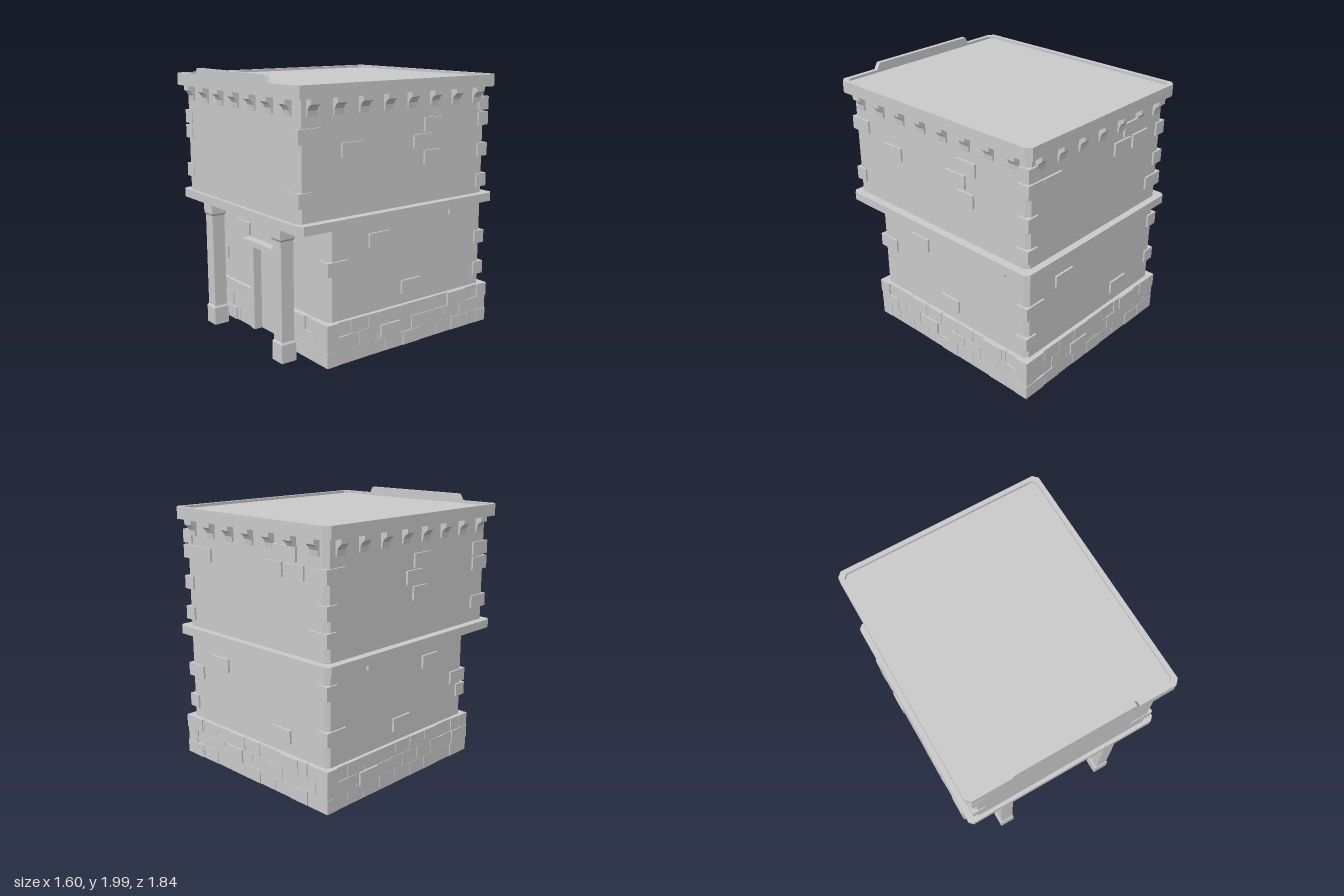
import * as THREE from 'three';

const mat = new THREE.MeshStandardMaterial({ color: 0xcccccc, flatShading: true });

let seed = 7;
const rand = () => (seed = (seed * 16807) % 2147483647) / 2147483647;

function add(parent, name, geo, x = 0, y = 0, z = 0) {
  const m = new THREE.Mesh(geo, mat);
  m.name = name;
  m.position.set(x, y, z);
  parent.add(m);
  return m;
}

// box given by its min and max corners
function block(parent, name, x0, x1, y0, y1, z0, z1) {
  return add(parent, name, new THREE.BoxGeometry(x1 - x0, y1 - y0, z1 - z0),
    (x0 + x1) / 2, (y0 + y1) / 2, (z0 + z1) / 2);
}

// floor plan of a rectangle with cut corners, as [x, z], starting and ending on the front side
function plan(hx, z0, z1, c) {
  return [[hx - c, z1], [hx, z1 - c], [hx, z0 + c], [hx - c, z0],
    [-hx + c, z0], [-hx, z0 + c], [-hx, z1 - c], [-hx + c, z1]];
}
const toVec = pts => pts.map(([x, z]) => new THREE.Vector2(x, -z));

// extrude a floor plan upwards from y0 to y1
function rise(pts, y0, y1, hole) {
  const s = new THREE.Shape(toVec(pts));
  if (hole) s.holes.push(new THREE.Path(toVec(hole)));
  return new THREE.ExtrudeGeometry(s, { depth: y1 - y0, bevelEnabled: false })
    .rotateX(-Math.PI / 2).translate(0, y0, 0);
}

const HX = 0.74, BACK = -0.868, FRONT = 0.62, TOP_FRONT = 0.862;

// brick set into a wall; u runs along the wall, out is how far it stands proud
function brick(parent, side, u, y, len, out, depth = 0.12, h = 0.1, front = FRONT) {
  const name = 'brick';
  const [a, b, c, d] = [u - len / 2, u + len / 2, y - h / 2, y + h / 2];
  if (side === 'front') block(parent, name, a, b, c, d, front + out - depth, front + out);
  if (side === 'back') block(parent, name, a, b, c, d, BACK - out, BACK - out + depth);
  if (side === 'right') block(parent, name, HX + out - depth, HX + out, c, d, a, b);
  if (side === 'left') block(parent, name, -HX - out, -HX - out + depth, c, d, a, b);
}

// three staggered courses of stones round the foot
function stoneBase(root) {
  const g = new THREE.Group();
  g.name = 'stoneBase';
  root.add(g);
  const runs = [['back', -HX, HX, 9], ['right', BACK, FRONT, 9], ['left', BACK, FRONT, 9],
    ['front', -HX, -0.205, 3], ['front', 0.205, HX, 3]];
  for (const [side, a, b, n] of runs) {
    for (let row = 0; row < 3; row++) {
      const step = (b - a) / n;
      for (let i = 0; i < n + row % 2; i++) {
        const shift = row % 2 ? 0.5 : 0;
        const p = Math.max(a, a + (i - shift) * step), q = Math.min(b, a + (i + 1 - shift) * step);
        const depth = (i + row) % 2 ? 0.1 : 0.15;
        brick(g, side, (p + q) / 2, 0.062 + row * 0.104, q - p - 0.003, 0.026 + rand() * 0.008, depth, 0.102);
      }
    }
  }
  // corner stones, long side alternating
  for (const sx of [-1, 1]) for (const sz of [-1, 1]) for (let row = 0; row < 3; row++) {
    const lx = row % 2 ? 0.1 : 0.19, lz = row % 2 ? 0.19 : 0.1;
    const o = 0.032 + rand() * 0.008, ze = sz > 0 ? FRONT : BACK, y = 0.062 + row * 0.104;
    add(g, 'cornerStone', new THREE.BoxGeometry(lx, 0.102, lz),
      sx * (HX + o - lx / 2), y, ze + sz * (o - lz / 2));
  }
  // a few stones standing further out
  [['front', -0.5, 0.062, 0.16], ['front', 0.43, 0.27, 0.17], ['right', 0.09, 0.166, 0.18],
    ['right', -0.575, 0.27, 0.18], ['left', -0.5, 0.166, 0.18], ['back', 0.2, 0.166, 0.18],
    ['back', -0.4, 0.27, 0.18]].forEach(([s, u, y, l]) => brick(g, s, u, y, l, 0.042));
}

function wallBricks(root) {
  const g = new THREE.Group();
  g.name = 'wallBricks';
  root.add(g);
  const list = [
    ['right', 0.425, 1.505], ['right', -0.22, 1.505], ['right', -0.32, 1.62], ['right', -0.31, 1.385, 0.155],
    ['right', 0.18, 0.85], ['right', -0.125, 0.45], ['right', -0.59, 0.975],
    ['left', 0.08, 1.62], ['left', 0, 1.505], ['left', 0.06, 1.385, 0.155], ['left', -0.12, 0.45],
    ['left', 0.2, 0.85], ['left', -0.4, 0.975],
    ['back', -0.36, 1.735, 0.22], ['back', -0.24, 1.62], ['back', -0.45, 1.62], ['back', 0.36, 0.82],
    ['back', 0.52, 1.62], ['back', -0.3, 0.45], ['front', -0.33, 0.785],
  ];
  for (const [s, u, y, l = 0.18] of list) brick(g, s, u, y, l, 0.016);

  // corner bricks: [x side, z side, y, length in x, length in z]
  const quoins = [
    [1, 1, 1.62, 0.1, 0.18], [1, 1, 1.205, 0.18, 0.1], [1, 1, 0.7, 0.1, 0.18],
    [-1, 1, 1.62, 0.1, 0.18], [-1, 1, 1.505, 0.1, 0.18], [-1, 1, 1.205, 0.1, 0.18],
    [-1, 1, 0.645, 0.1, 0.18], [-1, 1, 0.53, 0.18, 0.1],
    [1, -1, 1.735, 0.1, 0.1], [1, -1, 1.62, 0.18, 0.1], [1, -1, 1.385, 0.1, 0.1], [1, -1, 1.15, 0.1, 0.1],
    [1, -1, 0.7, 0.18, 0.1], [1, -1, 0.45, 0.1, 0.1],
    [-1, -1, 1.62, 0.1, 0.18], [-1, -1, 1.385, 0.1, 0.1], [-1, -1, 1.205, 0.18, 0.1],
    [-1, -1, 0.85, 0.1, 0.1], [-1, -1, 0.53, 0.1, 0.18],
  ];
  for (const [sx, sz, y, lx, lz] of quoins) {
    const ze = sz < 0 ? BACK : y > 1 ? TOP_FRONT : FRONT, oz = sz > 0 && y > 1 ? 0.006 : 0.014;
    add(g, 'cornerBrick', new THREE.BoxGeometry(lx, 0.1, lz),
      sx * (HX + 0.014 - lx / 2), y, ze + sz * (oz - lz / 2));
  }
}

// small stepped brackets under the cornice
function brackets(root) {
  const g = new THREE.Group();
  g.name = 'brackets';
  root.add(g);
  const w = 0.076;
  const profile = [[-0.02, 1.745], [0.012, 1.745], [0.016, 1.785], [0.03, 1.81], [0.052, 1.825], [0.052, 1.862], [-0.02, 1.862]];
  const shape = new THREE.Shape(profile.map(([a, b]) => new THREE.Vector2(a, b)));
  // profile faces +x, thickness centred on z
  const geo = new THREE.ExtrudeGeometry(shape, { depth: w, bevelEnabled: false }).translate(0, 0, -w / 2);
  const put = (x, z, turn) => { add(g, 'bracket', geo, x, 0, z).rotation.y = turn; };
  for (let i = -3; i <= 3; i++) {
    put(i * 0.2133, TOP_FRONT, -Math.PI / 2);
    put(i * 0.2133, BACK, Math.PI / 2);
  }
  for (let i = 0; i < 8; i++) {
    const z = 0.756 - i * 0.2155;
    put(HX, z, 0);
    put(-HX, z, Math.PI);
  }
}

// square post with flared foot and head, built as a four-sided lathe
function column(root, x) {
  const k = Math.SQRT2;
  const prof = [[0, 0.015], [0.06, 0.015], [0.06, 0.15], [0.051, 0.165], [0.051, 0.885], [0.06, 0.9], [0.06, 0.99], [0, 0.99]];
  const geo = new THREE.LatheGeometry(prof.map(([r, y]) => new THREE.Vector2(r * k, y)), 4)
    .rotateY(Math.PI / 4).toNonIndexed();
  geo.computeVertexNormals();
  add(root, 'column', geo, x, 0, 0.8);
}

function doorway(root) {
  const g = new THREE.Group();
  g.name = 'doorway';
  root.add(g);
  block(g, 'door', -0.157, 0.157, 0.008, 0.69, 0.565, 0.588);
  for (const s of [-1, 1]) block(g, 'doorPost', s * 0.18 - 0.024, s * 0.18 + 0.024, 0.008, 0.69, 0.56, 0.655);
  const s = new THREE.Shape();
  s.moveTo(-0.235, 0.685).lineTo(0.235, 0.685).lineTo(0.25, 0.727).lineTo(-0.25, 0.727);
  add(g, 'lintel', new THREE.ExtrudeGeometry(s, { depth: 0.1, bevelEnabled: false }), 0, 0, 0.59);
}

export function createModel() {
  const root = new THREE.Group();
  root.name = 'house';

  // ground floor shell, open at the doorway and underneath
  const t = 0.03;
  const outer = [[0.18, FRONT], ...plan(HX, BACK, FRONT, 0.03), [-0.18, FRONT]];
  const inner = [[0.18, FRONT - t], ...plan(HX - t, BACK + t, FRONT - t, 0.02), [-0.18, FRONT - t]];
  add(root, 'lowerWall', rise([...outer, ...inner.reverse()], 0.008, 1));
  block(root, 'wallAboveDoor', -0.18, 0.18, 0.69, 1, FRONT - t, FRONT);

  // upper floor, ledge and cornice
  add(root, 'ledge', rise(plan(0.8, -0.92, 0.89, 0.03), 0.985, 1.05));
  add(root, 'upperWall', rise(plan(HX, BACK, TOP_FRONT, 0.03), 1.04, 1.87));
  add(root, 'cornice', rise(plan(0.8, -0.92, 0.92, 0.035), 1.86, 1.93));
  add(root, 'roofRim', rise(plan(0.8, -0.92, 0.92, 0.035), 1.93, 1.95, plan(0.765, -0.885, 0.885, 0.03)));

  // raised front of the rim
  const crest = new THREE.Shape();
  crest.moveTo(-0.48, 1.95).lineTo(0.48, 1.95).lineTo(0.45, 2).lineTo(-0.45, 2);
  add(root, 'crest', new THREE.ExtrudeGeometry(crest, { depth: 0.035, bevelEnabled: false }), 0, 0, 0.885);

  brackets(root);
  stoneBase(root);
  wallBricks(root);
  doorway(root);
  for (const s of [-1, 1]) column(root, s * 0.465);
  return root;
}
